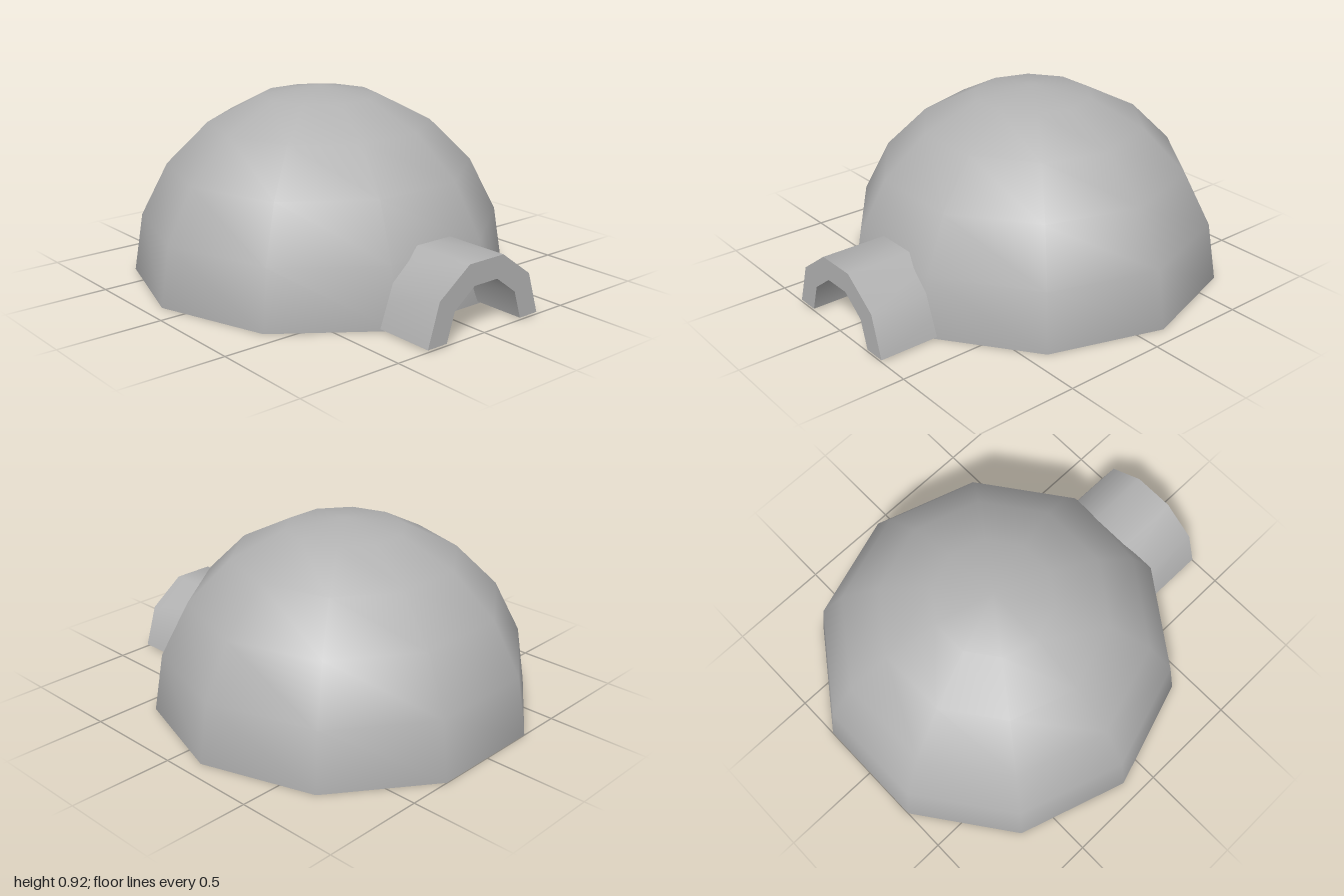
import * as THREE from 'three';
import { toCreasedNormals } from 'three/addons/utils/BufferGeometryUtils.js';

export function createModel() {
  const group = new THREE.Group();
  group.name = 'igloo';
  const snow = new THREE.MeshStandardMaterial({ color: 0xb2b2b2, side: THREE.DoubleSide });
  snow.name = 'snow grey';

  // Ten-sided half-sphere shell, open underneath
  const dome = new THREE.Mesh(
    new THREE.SphereGeometry(0.917, 10, 5, 0, Math.PI * 2, 0, Math.PI / 2), snow);
  dome.name = 'dome';
  dome.position.z = -0.127;
  group.add(dome);

  // Thick five-sided arch, mirrored from its +x half
  const outer = [[0.335, 0.01], [0.273, 0.208], [0.102, 0.332]];
  const inner = [[0.226, 0.01], [0.184, 0.143], [0.069, 0.229]];
  const arch = (half) => [...half, ...half.map(([x, y]) => [-x, y]).reverse()];
  const outline = [...arch(outer), ...arch(inner).reverse()]
    .map(([x, y]) => new THREE.Vector2(x, y));

  // Entrance tunnel, running through the dome wall into the interior
  const tunnelGeometry = toCreasedNormals(
    new THREE.ExtrudeGeometry(new THREE.Shape(outline), { depth: 0.69, bevelEnabled: false }),
    THREE.MathUtils.degToRad(45));
  const tunnel = new THREE.Mesh(tunnelGeometry, snow);
  tunnel.name = 'entranceTunnel';
  tunnel.position.z = 0.31;
  group.add(tunnel);

  return group;
}
